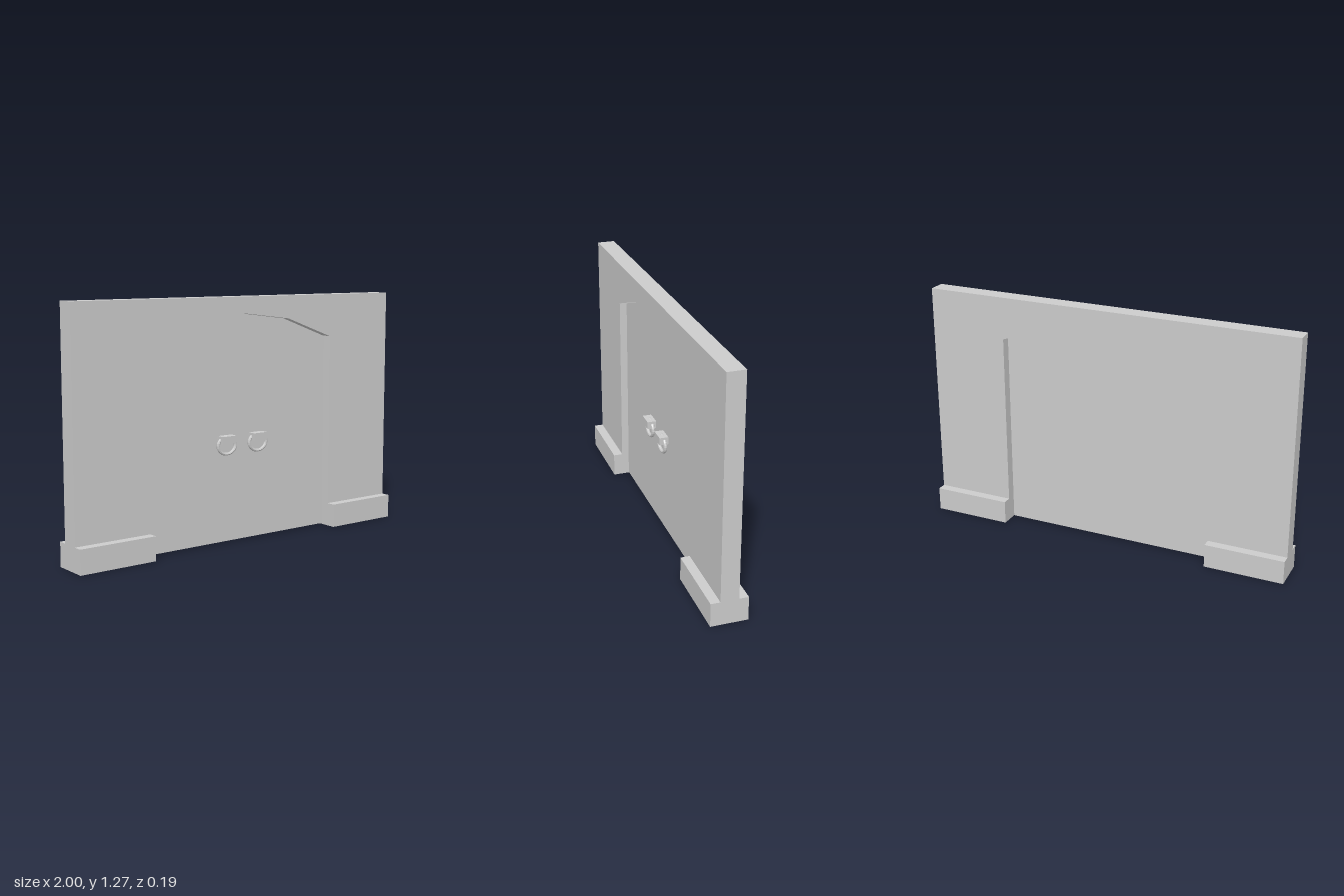
import * as THREE from 'three';

const material = new THREE.MeshStandardMaterial({ color: 0xcccccc, flatShading: true });
const openMaterial = new THREE.MeshStandardMaterial({ color: 0xcccccc, flatShading: true, side: THREE.DoubleSide });

const HEIGHT = 1.27;
const WALL_DEPTH = 0.093;
const PLINTH_HEIGHT = 0.125;
const PLINTH_DEPTH = 0.19;
const OPENING = 0.58;
const DOOR_DEPTH = 0.02;

// Five points of the faceted arch, from one springing to the other
const archPoints = (half, drop = 0) =>
  [[-1, 1.045], [-0.5, 1.15], [0, 1.185], [0.5, 1.15], [1, 1.045]].map(([t, y]) => [t * half, y - drop]);

function slab(points, depth) {
  const shape = new THREE.Shape(points.map(([x, y]) => new THREE.Vector2(x, y)));
  const geometry = new THREE.ExtrudeGeometry(shape, { depth, bevelEnabled: false });
  return geometry.translate(0, 0, -depth / 2);
}

function add(parent, name, geometry, mat = material) {
  const mesh = new THREE.Mesh(geometry, mat);
  mesh.name = name;
  parent.add(mesh);
  return mesh;
}

// Box shell without its underside
function openBox(width, height, depth) {
  const geometry = new THREE.BoxGeometry(width, height, depth);
  const index = Array.from(geometry.index.array);
  index.splice(18, 6);
  geometry.setIndex(index);
  return geometry;
}

export function createModel() {
  const group = new THREE.Group();
  group.name = 'archedGateway';

  // Wall with the arched opening cut from its lower edge
  add(group, 'wall', slab([
    [-1, PLINTH_HEIGHT], [-OPENING, PLINTH_HEIGHT],
    ...archPoints(OPENING),
    [OPENING, PLINTH_HEIGHT], [1, PLINTH_HEIGHT],
    [1, HEIGHT], [-1, HEIGHT],
  ], WALL_DEPTH));

  // Thin door panel, set in the middle of the wall with a narrow gap
  const half = 0.572;
  add(group, 'door', slab([[-half, 0.008], ...archPoints(half, 0.001), [half, 0.008]], DOOR_DEPTH));

  for (const side of [-1, 1]) {
    const label = side > 0 ? 'left' : 'right';

    // Hollow plinth under each end of the wall
    const plinth = add(group, label + 'Plinth', openBox(1 - OPENING, PLINTH_HEIGHT, PLINTH_DEPTH), openMaterial);
    plinth.position.set(side * (1 + OPENING) / 2, PLINTH_HEIGHT / 2, 0);

    // Door handle: a ring hanging from a block
    const handle = new THREE.Group();
    handle.name = label + 'Handle';
    handle.position.set(side * 0.1, 0, 0);
    group.add(handle);

    const block = add(handle, 'handleBlock', new THREE.BoxGeometry(0.086, 0.04, 0.047));
    block.position.set(0, 0.545, 0.0335);

    const ring = add(handle, 'handleRing', new THREE.TorusGeometry(0.055, 0.009, 8, 24));
    ring.scale.y = 0.83;
    ring.position.set(0, 0.515, 0.03);
  }
  return group;
}
